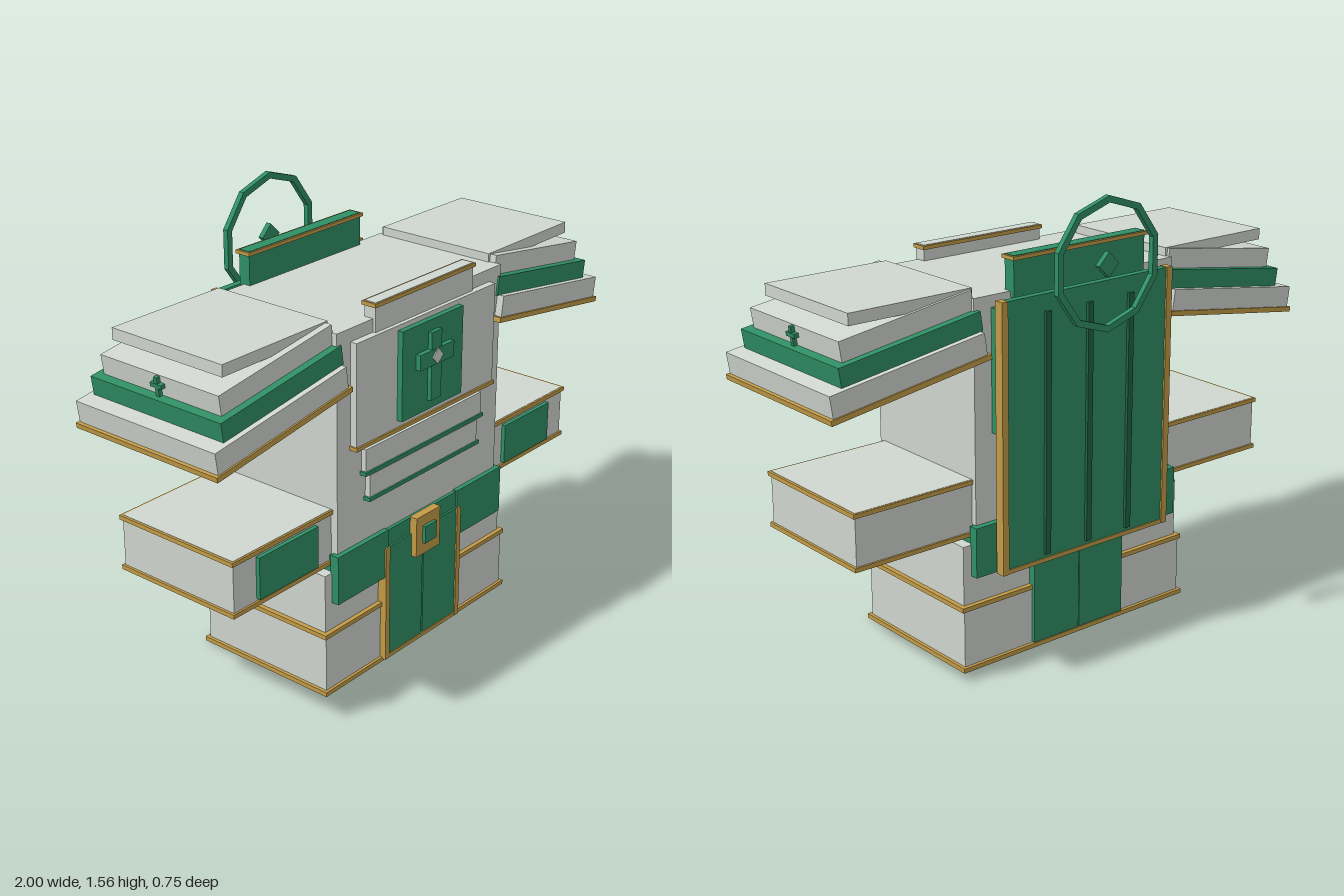
import * as THREE from 'three';

const mat = (name, color) => {
  const m = new THREE.MeshStandardMaterial({ color });
  m.name = name;
  return m;
};

export function createModel() {
  const cloth = mat('pale grey cloth', 0xd0d6d0);
  const green = mat('green', 0x2f8f65);
  const darkGreen = mat('dark green', 0x1f6347);
  const gold = mat('gold trim', 0xc39c48);
  const model = new THREE.Group();
  model.name = 'robedArmour';

  // Box given by its extents on each axis
  const box = (parent, name, m, [x0, x1], [y0, y1], [z0, z1]) => {
    const mesh = new THREE.Mesh(new THREE.BoxGeometry(x1 - x0, y1 - y0, z1 - z0), m);
    mesh.position.set((x0 + x1) / 2, (y0 + y1) / 2, (z0 + z1) / 2);
    mesh.name = name;
    parent.add(mesh);
    return mesh;
  };
  const group = (name) => {
    const g = new THREE.Group();
    g.name = name;
    model.add(g);
    return g;
  };
  const sym = (v) => [-v, v];
  // Extents on the +x side, or their mirror on the -x side
  const side = (s, a, b) => (s > 0 ? [a, b] : [-b, -a]);

  // Torso, chest plate and rib plates
  const torso = group('torso');
  box(torso, 'torsoBody', cloth, sym(0.43), [0.44, 1.27], [-0.22, 0.31]);
  box(torso, 'backPlate', green, sym(0.36), [0.81, 1.23], [-0.25, -0.22]);
  box(torso, 'chestPlate', cloth, sym(0.365), [0.865, 1.225], [0.31, 0.335]);
  box(torso, 'chestTrim', gold, sym(0.37), [0.857, 0.87], [0.305, 0.341]);
  box(torso, 'chestPanel', green, sym(0.16), [0.895, 1.208], [0.33, 0.355]);
  box(torso, 'crossUpright', green, sym(0.027), [0.93, 1.17], [0.35, 0.37]);
  box(torso, 'crossBar', green, sym(0.09), [1.055, 1.11], [0.35, 0.373]);
  const gem = box(torso, 'chestGem', cloth, sym(0.02), [1.063, 1.103], [0.36, 0.377]);
  gem.rotation.z = Math.PI / 4;
  for (const [w, y] of [[0.31, 0.75], [0.29, 0.652]]) {
    box(torso, 'ribPlate', cloth, sym(w), [y + 0.01, y + 0.092], [0.305, 0.33]);
    box(torso, 'ribTrim', green, sym(w + 0.008), [y, y + 0.013], [0.305, 0.336]);
  }

  // Front and back collars
  const collar = group('collar');
  box(collar, 'frontCollar', cloth, sym(0.255), [1.2, 1.325], [0.275, 0.32]);
  box(collar, 'frontCollarTrim', gold, sym(0.262), [1.31, 1.323], [0.268, 0.326]);
  box(collar, 'backCollar', green, sym(0.282), [1.25, 1.388], [-0.238, -0.193]);
  box(collar, 'backCollarTrim', gold, sym(0.29), [1.374, 1.386], [-0.246, -0.186]);

  // Stepped skirt with gold hems
  const skirt = group('skirt');
  for (const s of [-1, 1]) {
    box(skirt, 'upperSkirt', cloth, side(s, 0, 0.48), [0.225, 0.44], [-0.215, 0.3]);
    box(skirt, 'lowerSkirt', cloth, side(s, 0, 0.488), [0.01, 0.225], [-0.228, 0.31]);
    box(skirt, 'middleHem', gold, side(s, 0, 0.497), [0.215, 0.231], [-0.232, 0.316]);
    box(skirt, 'bottomHem', gold, side(s, 0, 0.5), [0, 0.016], [-0.24, 0.32]);
  }

  // Belt, hip plates and buckle
  const belt = group('belt');
  box(belt, 'beltBand', green, sym(0.44), [0.37, 0.5], [-0.235, 0.322]);
  for (const s of [-1, 1]) {
    box(belt, 'hipPlate', green, side(s, 0.19, 0.447), [0.33, 0.505], [0.295, 0.328]);
    box(belt, 'backHipPlate', green, side(s, 0.19, 0.447), [0.33, 0.505], [-0.243, -0.21]);
  }
  box(belt, 'buckle', gold, sym(0.065), [0.355, 0.503], [0.32, 0.35]);
  box(belt, 'buckleStud', green, sym(0.031), [0.4, 0.464], [0.34, 0.362]);

  // Split tabard, front and back
  const tabard = group('tabard');
  for (const s of [-1, 1]) {
    box(tabard, 'frontPanel', green, side(s, 0.003, 0.19), [0.02, 0.44], [0.3, 0.329]);
    box(tabard, 'frontEdge', gold, side(s, 0.186, 0.207), [0.01, 0.44], [0.3, 0.334]);
    box(tabard, 'backPanel', green, side(s, 0.002, 0.2), [0.02, 0.44], [-0.243, -0.21]);
  }
  box(tabard, 'frontHem', gold, sym(0.205), [0.01, 0.024], [0.3, 0.333]);

  for (const s of [-1, 1]) {
    // Box sleeve with gold bands and a green inset
    const sleeve = group(s > 0 ? 'leftSleeve' : 'rightSleeve');
    box(sleeve, 'sleeveBody', cloth, side(s, 0.42, 0.887), [0.464, 0.661], [-0.2, 0.284]);
    for (const y of [0.465, 0.645])
      box(sleeve, 'sleeveBand', gold, side(s, 0.42, 0.896), [y, y + 0.015], [-0.207, 0.291]);
    box(sleeve, 'sleevePanel', green, side(s, 0.51, 0.785), [0.488, 0.635], [0.28, 0.299]);

    // Sloping layered shoulder
    const shoulder = group(s > 0 ? 'leftShoulder' : 'rightShoulder');
    const slope = new THREE.Group();
    slope.name = 'slopedLayers';
    slope.position.set(s * 0.694, 1.03, 0.04);
    slope.rotation.z = -s * 0.148;
    shoulder.add(slope);
    box(slope, 'shoulderTrim', gold, sym(0.307), [-0.045, -0.027].map((v) => v + 0.045), sym(0.303));
    box(slope, 'lowerLayer', cloth, side(s, -0.295, 0.295), [0.016, 0.092], sym(0.297));
    box(slope, 'greenLayer', green, side(s, -0.305, 0.237), [0.09, 0.157], sym(0.277));
    box(slope, 'upperLayer', cloth, side(s, -0.3, 0.205), [0.155, 0.225], sym(0.25));
    box(slope, 'sideCrossUpright', green, side(s, 0.2, 0.219), [0.157, 0.222], sym(0.007));
    box(slope, 'sideCrossBar', green, side(s, 0.2, 0.221), [0.187, 0.201], sym(0.024));
    box(shoulder, 'topPlate', cloth, side(s, 0.42, 0.887), [1.26, 1.3], [-0.2, 0.265]);
  }

  // Ribbed cape with gold edges
  const cape = group('cape');
  box(cape, 'capePanel', green, sym(0.355), [0.34, 1.258], [-0.281, -0.255]);
  for (const s of [-1, 1])
    box(cape, 'capeEdge', gold, side(s, 0.345, 0.37), [0.33, 1.26], [-0.287, -0.252]);
  box(cape, 'capeHem', gold, sym(0.36), [0.33, 0.345], [-0.285, -0.253]);
  for (const x of [-0.18, 0, 0.18])
    box(cape, 'capeRib', darkGreen, [x - 0.011, x + 0.011], [0.36, 1.2], [-0.292, -0.278]);

  // Ten-sided halo with a diamond in the middle
  const halo = group('halo');
  const decagon = (r) => Array.from({ length: 10 }, (_, i) =>
    new THREE.Vector2(r * Math.sin(i * Math.PI / 5), r * Math.cos(i * Math.PI / 5)));
  const ring = new THREE.Shape(decagon(0.225));
  ring.holes.push(new THREE.Path(decagon(0.202).reverse()));
  const ringMesh = new THREE.Mesh(
    new THREE.ExtrudeGeometry(ring, { depth: 0.02, bevelEnabled: false }), green);
  ringMesh.name = 'haloRing';
  ringMesh.position.set(0, 1.34, -0.375);
  halo.add(ringMesh);
  const diamond = box(halo, 'haloDiamond', green, sym(0.03), [1.31, 1.37], [-0.375, -0.355]);
  diamond.rotation.z = Math.PI / 4;

  return model;
}
